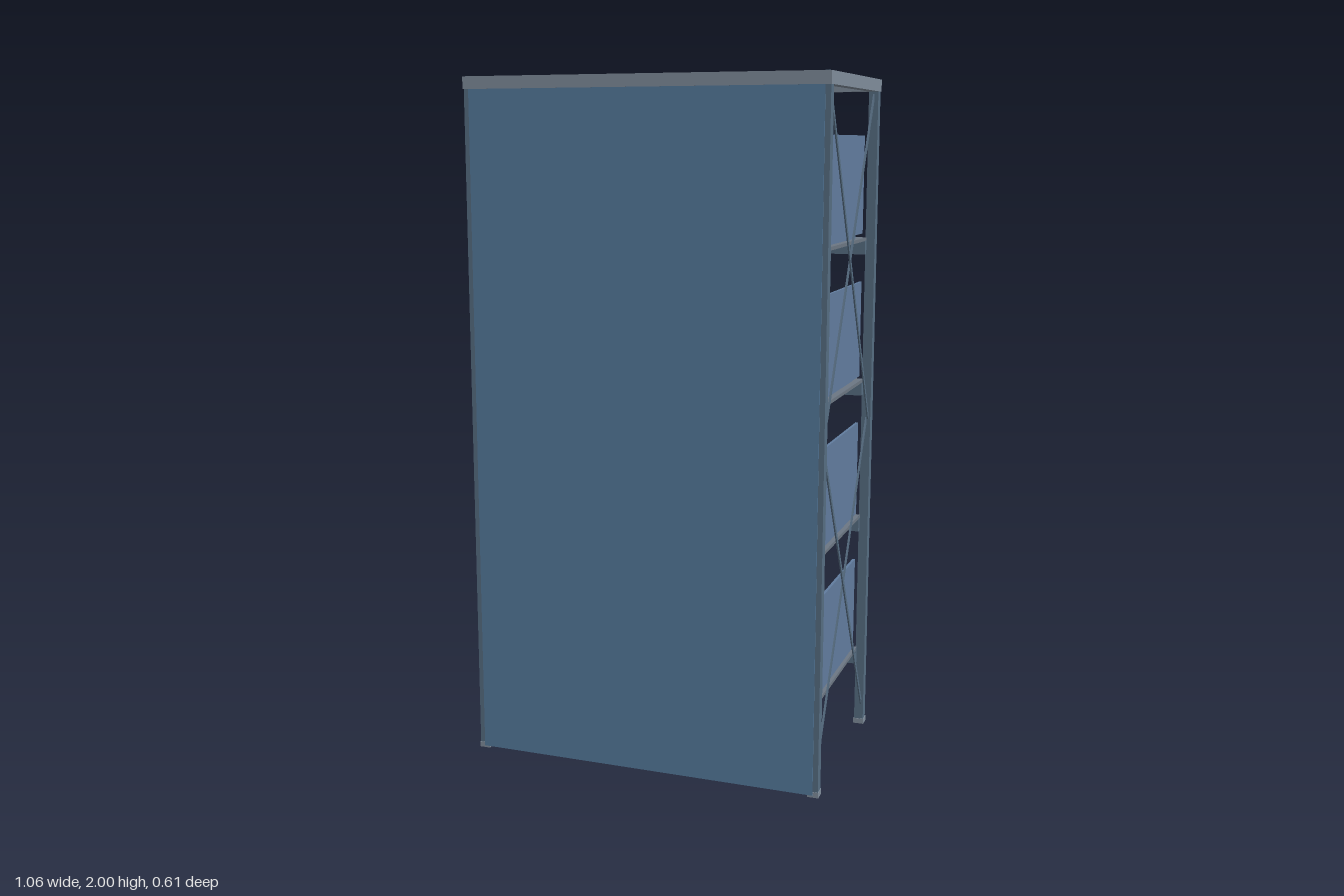
import * as THREE from 'three';

const mat = (color) => new THREE.MeshStandardMaterial({ color });
const panelMat = mat(0x557a9c), frameMat = mat(0x7f8c9a), postMat = mat(0x566d82);
const shelfMat = mat(0x6c7783), binMat = mat(0x617c9e), darkMat = mat(0x35465a);

// Box given by its extents on each axis
function box(parent, name, material, [x0, x1], [y0, y1], [z0, z1]) {
  const m = new THREE.Mesh(new THREE.BoxGeometry(x1 - x0, y1 - y0, z1 - z0), material);
  m.position.set((x0 + x1) / 2, (y0 + y1) / 2, (z0 + z1) / 2);
  m.name = name;
  parent.add(m);
  return m;
}

// Flat bar in a side plane, between two (y, z) points
function brace(parent, x, y0, z0, y1, z1) {
  const m = new THREE.Mesh(
    new THREE.BoxGeometry(0.004, Math.hypot(y1 - y0, z1 - z0), 0.012), postMat);
  m.position.set(x, (y0 + y1) / 2, (z0 + z1) / 2);
  m.rotation.x = Math.atan2(z1 - z0, y1 - y0);
  m.name = 'crossBrace';
  parent.add(m);
}

// Open storage bin with a low wall towards -z
function makeBin() {
  const bin = new THREE.Group();
  bin.name = 'storageBin';
  const w = 0.16, t = 0.008, h = 0.285, zb = 0.235, zf = -0.225;
  box(bin, 'binFloor', binMat, [-w, w], [0, 0.012], [zf, zb]);
  for (const s of [-1, 1]) {
    const xs = s < 0 ? [-w, -w + t] : [w - t, w];
    box(bin, 'binSide', binMat, xs, [0.012, h], [zf, zb]);
  }
  box(bin, 'binBack', binMat, [-w + t, w - t], [0.012, h], [zb - t, zb]);
  box(bin, 'binLowWall', binMat, [-w + t, w - t], [0.012, 0.15], [zf, zf + t]);
  box(bin, 'binRidge', binMat, [-w + t, w - t], [0.042, 0.05], [zf - 0.004, zf]);
  box(bin, 'labelHolder', darkMat, [-0.04, 0.04], [0.083, 0.108], [zf - 0.005, zf]);
  return bin;
}

export function createModel() {
  const group = new THREE.Group();
  group.name = 'shelvingUnit';

  // Corner posts with feet and bolts
  const boltGeo = new THREE.CylinderGeometry(0.007, 0.007, 0.006, 8).rotateX(Math.PI / 2);
  for (const sx of [-1, 1]) {
    for (const sz of [-1, 1]) {
      const post = new THREE.Group();
      post.name = 'cornerPost';
      const xs = sx < 0 ? [-0.53, -0.502] : [0.502, 0.53];
      const zs = sz < 0 ? [-0.3, -0.27] : [0.27, 0.3];
      box(post, 'postBar', postMat, xs, [0.012, 1.966], zs);
      box(post, 'foot', frameMat, [xs[0] - 0.002, xs[1] + 0.002], [0, 0.016],
        [zs[0] - 0.002, zs[1] + 0.002]);
      for (let i = 0; i < 9; i++) {
        const bolt = new THREE.Mesh(boltGeo, postMat);
        bolt.position.set(sx * 0.516, 0.145 + i * 0.2145, zs[0] - 0.002);
        bolt.name = 'bolt';
        post.add(bolt);
      }
      group.add(post);
    }
    // Two crossed pairs of braces on each side
    for (const [y0, y1] of [[0.07, 0.99], [0.99, 1.955]]) {
      brace(group, sx * 0.522, y0, -0.272, y1, 0.272);
      brace(group, sx * 0.517, y0, 0.272, y1, -0.272);
    }
  }

  // Full front panel
  box(group, 'frontPanel', panelMat, [-0.515, 0.515], [0.006, 1.966], [0.297, 0.303]);

  // Roof: rim with an inset panel
  const roof = new THREE.Group();
  roof.name = 'roof';
  for (const s of [-1, 1]) {
    box(roof, 'roofLongRim', frameMat, [-0.532, 0.532], [1.965, 2],
      s < 0 ? [-0.304, -0.272] : [0.272, 0.304]);
    box(roof, 'roofShortRim', frameMat, s < 0 ? [-0.532, -0.5] : [0.5, 0.532],
      [1.965, 2], [-0.272, 0.272]);
    for (const z of [-0.287, 0.287])
      box(roof, 'postCap', postMat, [s * 0.519 - 0.005, s * 0.519 + 0.005],
        [1.99, 2.001], [z - 0.015, z + 0.015]);
  }
  box(roof, 'roofPanel', panelMat, [-0.5, 0.5], [1.988, 1.998], [-0.272, 0.272]);
  group.add(roof);

  // Shelves, each carrying three bins
  for (const y of [0.25, 0.68, 1.107, 1.535]) {
    const shelf = new THREE.Group();
    shelf.name = 'shelf';
    box(shelf, 'shelfBoard', shelfMat, [-0.505, 0.505], [-0.006, 0.004], [-0.27, 0.27]);
    for (const s of [-1, 1])
      box(shelf, 'shelfBeam', postMat, [-0.505, 0.505], [-0.046, 0.003],
        s < 0 ? [-0.272, -0.252] : [0.252, 0.272]);
    for (let i = -1; i <= 1; i++) {
      const bin = makeBin();
      bin.position.set(i * 0.343, 0.018, 0);
      // Runners under the bin
      for (const s of [-1, 1])
        box(bin, 'binRunner', binMat, [s * 0.13 - 0.012, s * 0.13 + 0.012],
          [-0.014, 0], [-0.21, 0.22]);
      shelf.add(bin);
    }
    shelf.position.y = y;
    group.add(shelf);
  }
  return group;
}
